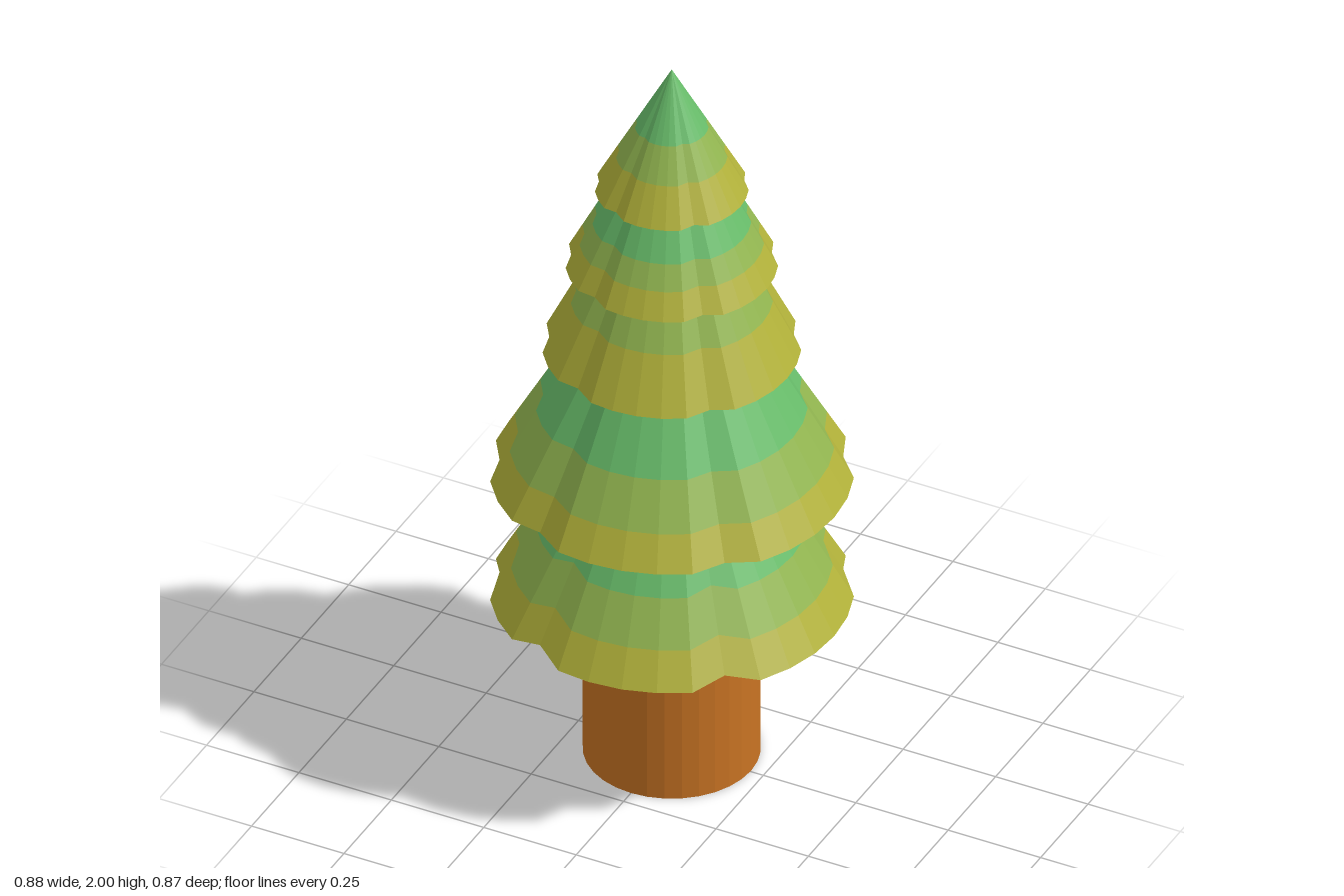
import * as THREE from 'three';

const SIDES = 32;
// Rim corners that are pulled inward, as steps around from the back
const DENTS = new Set([0, 5, 12, 18, 22, 27]);

const flat = (name, color, side = THREE.FrontSide) => {
  const m = new THREE.MeshStandardMaterial({ color, side, flatShading: true });
  m.name = name;
  return m;
};

// Pull the dented corners inward and slightly upward
function dent(geometry, rim, lift) {
  const p = geometry.attributes.position;
  for (let i = 0; i < p.count; i++) {
    const x = p.getX(i), z = p.getZ(i), r = Math.hypot(x, z);
    if (r < 1e-5) continue;
    const step = Math.round(Math.atan2(x, -z) / (2 * Math.PI) * SIDES);
    if (!DENTS.has((step + SIDES) % SIDES)) continue;
    p.setXYZ(i, x * 0.945, p.getY(i) + lift * r / rim, z * 0.945);
  }
  geometry.computeVertexNormals();
  return geometry;
}

export function createModel() {
  const tree = new THREE.Group();
  tree.name = 'tree';
  const green = flat('leafGreen', 0x68bd6a, THREE.DoubleSide);
  const mid = flat('yellowGreen', 0x92b650, THREE.DoubleSide);
  const tip = flat('oliveYellow', 0xb2b23a, THREE.DoubleSide);
  const bark = flat('bark', 0xc87323);

  const add = (parent, name, geometry, material) => {
    const mesh = new THREE.Mesh(geometry, material);
    mesh.name = name;
    parent.add(mesh);
  };

  // Trunk
  const trunk = new THREE.CylinderGeometry(0.215, 0.215, 0.55, SIDES);
  add(tree, 'trunk', trunk.translate(0, 0.275, 0), bark);

  // Foliage tiers: rim height, rim radius, apex height, colour break heights
  const tiers = [
    { y: 0.47, r: 0.44, top: 1.25, tipY: 0.56, midY: 0.67, lift: 0.022, closed: true },
    { y: 0.82, r: 0.44, top: 1.61, tipY: 0.905, midY: 1.02, lift: 0.004, closed: true },
    { y: 1.19, r: 0.313, top: 1.83, tipY: 1.33, midY: 1.43, lift: 0.004, closed: true },
    { y: 1.435, r: 0.257, top: 1.93, tipY: 1.5, midY: 1.56, lift: 0.004, closed: false },
    { y: 1.655, r: 0.186, top: 2, tipY: 1.75, midY: 1.835, lift: 0.004, closed: true },
  ];
  tiers.forEach((t, n) => {
    const tier = new THREE.Group();
    tier.name = `foliageTier${n + 1}`;
    tree.add(tier);
    const radius = (y) => t.r * (t.top - y) / (t.top - t.y);
    // Three colour bands from rim to apex
    const bands = [['rimBand', t.y, t.tipY, tip], ['middleBand', t.tipY, t.midY, mid], ['upperCone', t.midY, t.top, green]];
    for (const [name, y0, y1, material] of bands) {
      const g = new THREE.CylinderGeometry(radius(y1), radius(y0), y1 - y0, SIDES, 1, true);
      add(tier, name, dent(g.translate(0, (y0 + y1) / 2, 0), t.r, t.lift), material);
    }
    // Underside
    if (t.closed) {
      const g = new THREE.CircleGeometry(t.r, SIDES).rotateX(Math.PI / 2).translate(0, t.y, 0);
      add(tier, 'underside', dent(g, t.r, t.lift), green);
    }
  });

  tree.position.z = -0.004;
  return tree;
}
